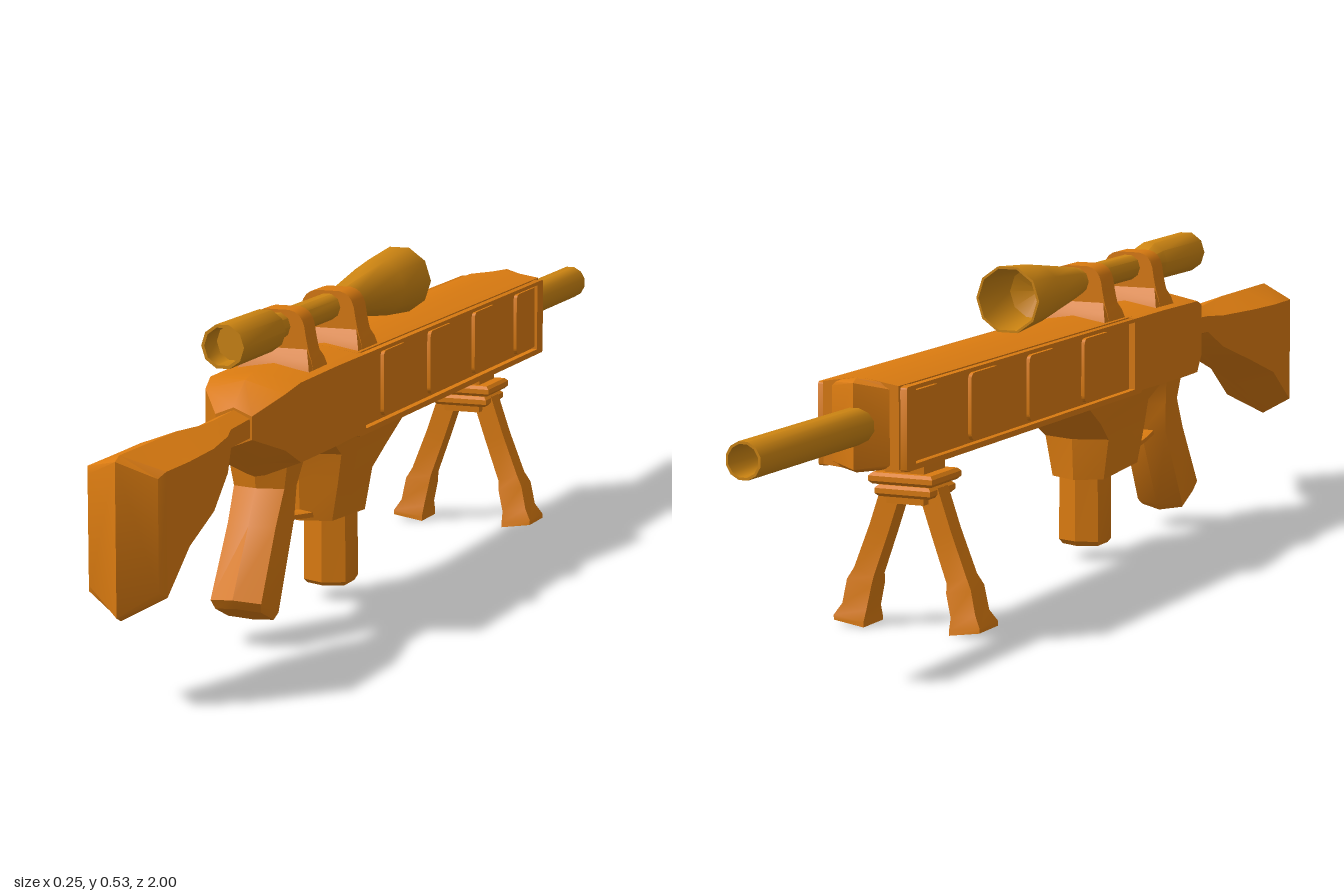
import * as THREE from 'three';
import { toCreasedNormals } from 'three/addons/utils/BufferGeometryUtils.js';

const V = (x, y, z) => new THREE.Vector3(x, y, z);

// Six-sided ring between ridge points a and b, each [z, y]; w is the half width,
// ca / cb the insets of the shoulders, dz the z shift of the sides.
function ring(a, b, w, ca = 0.012, cb = ca, dz = 0) {
  const A = V(0, a[1], a[0]), B = V(0, b[1], b[0]);
  const d = B.clone().sub(A).normalize();
  const s = (x, p, c) => V(x, p.y + d.y * c, p.z + d.z * c + dz);
  return [A, s(w, A, ca), s(w, B, -cb), B, s(-w, B, -cb), s(-w, A, ca)];
}

// Rectangular ring around (x, y, z)
const box = (x, y, z, hx, hz, tilt = 0) => [
  V(x - hx, y - tilt, z - hz), V(x + hx, y + tilt, z - hz),
  V(x + hx, y + tilt, z + hz), V(x - hx, y - tilt, z + hz)];

// Closed skin over a row of rings, always wound outwards
function loft(rings, crease = 0.6) {
  const n = rings[0].length, pts = rings.flat(), tris = [];
  for (let i = 0; i < rings.length - 1; i++) {
    for (let j = 0; j < n; j++) {
      const a = i * n + j, b = i * n + (j + 1) % n;
      tris.push([a, b, b + n], [a, b + n, a + n]);
    }
  }
  const e = (rings.length - 1) * n;
  for (let j = 1; j < n - 1; j++) tris.push([0, j + 1, j], [e, e + j, e + j + 1]);
  let vol = 0;
  for (const [a, b, c] of tris) vol += pts[a].dot(pts[b].clone().cross(pts[c]));
  const g = new THREE.BufferGeometry().setFromPoints(pts);
  g.setIndex(tris.flatMap(([a, b, c]) => (vol < 0 ? [a, c, b] : [a, b, c])));
  return toCreasedNormals(g, crease);
}

// Turned part along z; profile is [radius, z] from rear to front
function turned(profile, sides, y) {
  const pts = profile.map(([r, z]) => new THREE.Vector2(r, -z));
  const g = new THREE.LatheGeometry(pts, sides, Math.PI / sides);
  g.rotateX(-Math.PI / 2).translate(0, y, 0);
  return toCreasedNormals(g, 0.7);
}

function roundedRect(T, z0, z1, y0, y1, r) {
  const s = new T();
  s.moveTo(z0 + r, y0);
  s.lineTo(z1 - r, y0).quadraticCurveTo(z1, y0, z1, y0 + r);
  s.lineTo(z1, y1 - r).quadraticCurveTo(z1, y1, z1 - r, y1);
  s.lineTo(z0 + r, y1).quadraticCurveTo(z0, y1, z0, y1 - r);
  s.lineTo(z0, y0 + r).quadraticCurveTo(z0, y0, z0 + r, y0);
  return s;
}

// Side plate between x0 and x1 from a shape drawn in z, y
function sidePlate(shape, x0, x1) {
  const g = new THREE.ExtrudeGeometry(shape, { depth: x1 - x0, bevelEnabled: false, curveSegments: 4 });
  g.rotateY(-Math.PI / 2).translate(x1, 0, 0);
  return toCreasedNormals(g, 0.6);
}

export function createModel() {
  const model = new THREE.Group();
  const orange = new THREE.MeshStandardMaterial({ color: 0xd97a10 });
  const amber = new THREE.MeshStandardMaterial({ color: 0xcc8412, side: THREE.DoubleSide });
  const add = (name, geometry, material = orange) => {
    const m = new THREE.Mesh(geometry, material);
    m.name = name;
    model.add(m);
  };

  // Receiver, with its rear tapering to the neck of the stock
  add('receiver', loft([
    ring([0.22, 0.418], [0.22, 0.272], 0.075, 0.012, 0.01),
    ring([0.34, 0.418], [0.34, 0.255], 0.075, 0.012, 0.025),
    ring([0.49, 0.418], [0.49, 0.25], 0.075, 0.014, 0.03),
    ring([0.53, 0.41], [0.53, 0.28], 0.066, 0.018, 0.025),
    ring([0.575, 0.375], [0.575, 0.315], 0.03, 0.012),
  ]));

  // Handguard core and its solid nose
  add('handguard', loft([
    ring([-0.635, 0.418], [-0.635, 0.275], 0.064, 0.01, 0.006),
    ring([0.23, 0.418], [0.23, 0.275], 0.064, 0.01, 0.006),
  ]));
  add('handguardNose', loft([
    ring([-0.66, 0.412], [-0.66, 0.28], 0.068, 0.014, 0.01, 0.035),
    ring([-0.65, 0.418], [-0.65, 0.275], 0.075, 0.013, 0.008, 0.034),
    ring([-0.6, 0.418], [-0.6, 0.275], 0.075, 0.013, 0.008),
  ]));

  // Framed recess on both sides with raised square panels
  for (const [side, x0, x1] of [['left', 0.063, 0.075], ['right', -0.075, -0.063]]) {
    const frame = roundedRect(THREE.Shape, -0.63, 0.25, 0.277, 0.406, 0.006);
    frame.holes.push(roundedRect(THREE.Path, -0.615, 0.23, 0.286, 0.4, 0.014));
    add(side + 'PanelFrame', sidePlate(frame, x0, x1));
    for (let i = 0; i < 4; i++) {
      const z = 0.13 - 0.212 * i;
      const panel = roundedRect(THREE.Shape, z - 0.104, z, 0.29, 0.396, 0.012);
      const inset = x0 > 0 ? [x0, x1 - 0.005] : [x0 + 0.005, x1];
      add(side + 'Panel', sidePlate(panel, ...inset));
    }
  }

  // Shoulder stock
  add('stock', loft([
    ring([0.55, 0.372], [0.55, 0.318], 0.026),
    ring([0.65, 0.368], [0.65, 0.316], 0.028),
    ring([0.69, 0.368], [0.69, 0.283], 0.04, 0.015),
    ring([0.785, 0.375], [0.785, 0.235], 0.059, 0.022, 0.025),
    ring([0.88, 0.375], [0.88, 0.195], 0.062, 0.024, 0.032),
    ring([0.985, 0.375], [0.985, 0.133], 0.062, 0.024, 0.034, -0.025),
    ring([1.0, 0.368], [1.0, 0.14], 0.054, 0.026, 0.036, -0.028),
  ]));

  // Magazine well and magazine
  add('magazineWell', loft([
    ring([0.0, 0.285], [0.38, 0.285], 0.072, 0.03),
    ring([0.08, 0.24], [0.325, 0.26], 0.065, 0.025),
    ring([0.13, 0.21], [0.318, 0.21], 0.058, 0.02),
    ring([0.135, 0.14], [0.315, 0.15], 0.047, 0.02),
  ]));
  add('magazine', loft([
    ring([0.143, 0.17], [0.225, 0.17], 0.035, 0.014),
    ring([0.143, 0.034], [0.225, 0.031], 0.036, 0.014),
    ring([0.15, 0.025], [0.22, 0.025], 0.032, 0.014),
  ]));

  // Grip, trigger guard and trigger
  add('grip', loft([
    ring([0.395, 0.275], [0.5, 0.285], 0.05, 0.018),
    ring([0.415, 0.23], [0.492, 0.235], 0.042, 0.014),
    ring([0.42, 0.18], [0.522, 0.18], 0.04, 0.014),
    ring([0.49, 0.04], [0.584, 0.078], 0.042, 0.014),
    ring([0.5, 0.03], [0.575, 0.063], 0.038, 0.014),
  ]));
  add('triggerGuard', loft([
    ring([0.44, 0.19], [0.44, 0.174], 0.02, 0.004),
    ring([0.39, 0.178], [0.39, 0.163], 0.02, 0.004),
    ring([0.3, 0.166], [0.3, 0.15], 0.02, 0.004),
  ]));
  const triggerPath = new THREE.CatmullRomCurve3([V(0, 0.27, 0.385), V(0, 0.225, 0.382), V(0, 0.195, 0.366)]);
  add('trigger', new THREE.TubeGeometry(triggerPath, 8, 0.006, 8));

  // Hollow barrel
  add('barrel', turned([
    [0.029, -0.6], [0.029, -1], [0.025, -1], [0.025, -0.85], [0, -0.85],
  ], 12, 0.346), amber);

  // Telescopic sight, open at both ends
  add('scope', turned([
    [0, 0.57], [0.029, 0.57], [0.03, 0.615], [0.035, 0.615], [0.034, 0.45], [0.022, 0.43],
    [0.022, 0.15], [0.028, 0.12], [0.048, -0.02], [0.056, -0.12], [0.052, -0.12], [0.043, -0.02], [0, 0.0],
  ], 10, 0.474), amber);

  // Scope mounts: flared feet with an arched clamp
  for (const [z, half] of [[0.382, 0.021], [0.172, 0.025]]) {
    const arch = new THREE.Shape();
    arch.moveTo(-0.06, 0.405);
    arch.lineTo(0.06, 0.405).lineTo(0.057, 0.422).quadraticCurveTo(0.05, 0.44, 0.045, 0.475);
    arch.quadraticCurveTo(0.04, 0.497, 0.02, 0.5).lineTo(-0.02, 0.5);
    arch.quadraticCurveTo(-0.04, 0.497, -0.045, 0.475).quadraticCurveTo(-0.05, 0.44, -0.057, 0.422);
    const g = new THREE.ExtrudeGeometry(arch, { depth: half * 2, bevelEnabled: false, curveSegments: 4 });
    add('scopeMount', toCreasedNormals(g.translate(0, 0, z - half), 0.6));
    add('scopeMountFoot', loft([
      box(0, 0.405, z, 0.06, half + 0.018),
      box(0, 0.422, z, 0.056, half + 0.012),
      box(0, 0.44, z, 0.049, half),
    ]));
  }

  // Bipod: stem, stacked plates and two splayed legs
  const bz = -0.455;
  add('bipodStem', loft([box(0, 0.29, bz, 0.035, 0.038), box(0, 0.2, bz, 0.032, 0.034)]));
  for (const [y, hx, hz] of [[0.24, 0.055, 0.051], [0.22, 0.048, 0.044]]) {
    add('bipodPlate', loft([
      box(0, y + 0.009, bz, hx - 0.005, hz - 0.005), box(0, y + 0.004, bz, hx, hz),
      box(0, y - 0.004, bz, hx, hz), box(0, y - 0.009, bz, hx - 0.005, hz - 0.005),
    ]));
  }
  for (const s of [1, -1]) {
    add(s > 0 ? 'leftLeg' : 'rightLeg', loft([
      box(s * 0.032, 0.22, bz, 0.016, 0.018, s * 0.006),
      box(s * 0.054, 0.155, bz, 0.016, 0.018, s * 0.006),
      box(s * 0.08, 0.085, bz, 0.017, 0.019, s * 0.006),
      box(s * 0.086, 0.068, bz, 0.021, 0.024, s * 0.005),
      box(s * 0.094, 0.03, bz, 0.021, 0.025, s * 0.004),
      box(s * 0.1, 0.012, bz, 0.026, 0.033, s * 0.004),
      box(s * 0.1, 0.004, bz, 0.026, 0.033, s * 0.004),
    ]));
  }
  return model;
}
